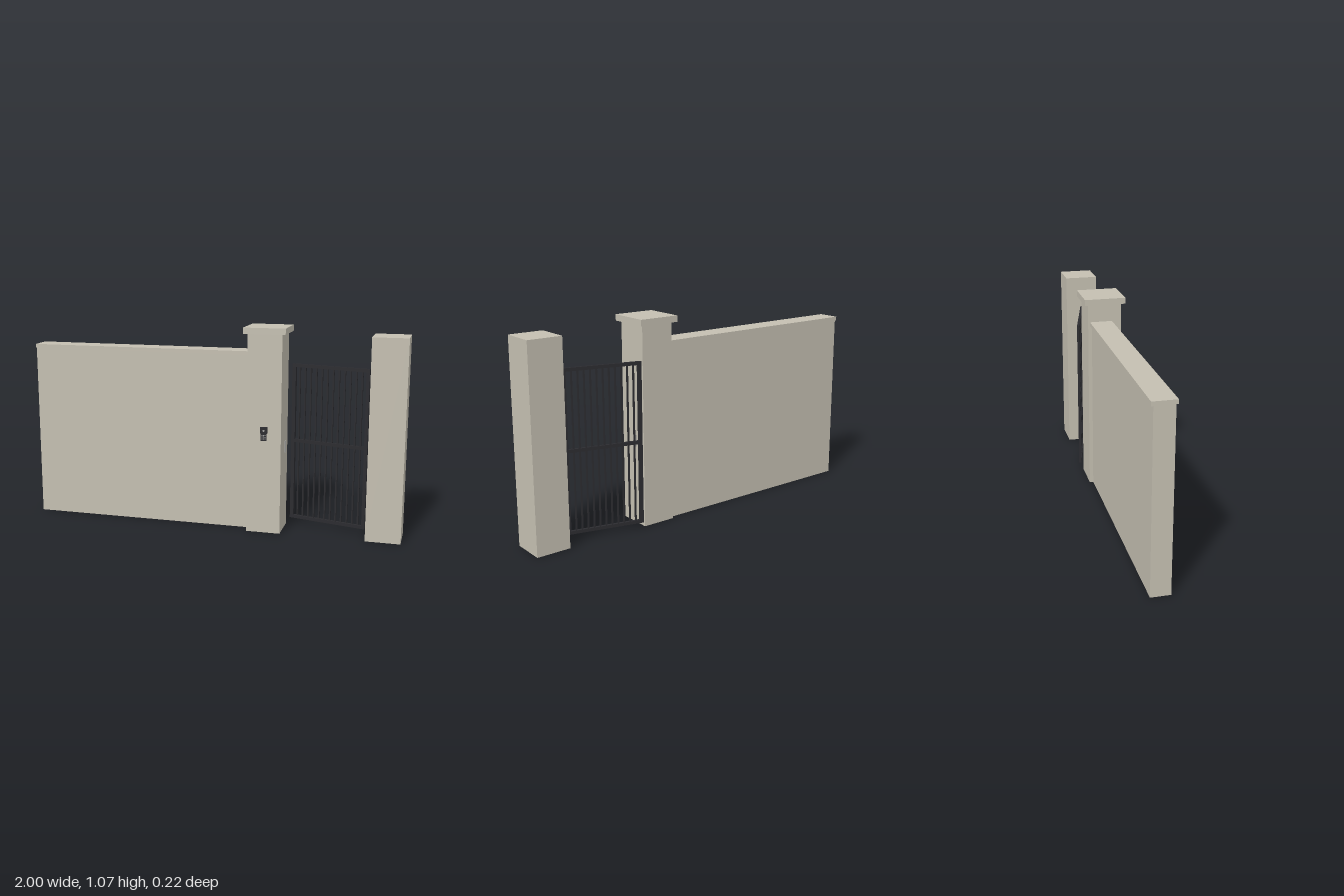
import * as THREE from 'three';

const mat = (name, color) => {
  const m = new THREE.MeshStandardMaterial({ color });
  m.name = name;
  return m;
};

export function createModel() {
  const stone = mat('stone', 0xc4bfb1);
  const iron = mat('dark iron', 0x2b2b2f);
  const steel = mat('steel', 0xa3a3a0);

  const model = new THREE.Group();
  model.name = 'gatedWall';

  // Box given by its two extreme corners
  const box = (parent, name, material, [x0, y0, z0], [x1, y1, z1]) => {
    const mesh = new THREE.Mesh(new THREE.BoxGeometry(x1 - x0, y1 - y0, z1 - z0), material);
    mesh.position.set((x0 + x1) / 2, (y0 + y1) / 2, (z0 + z1) / 2);
    mesh.name = name;
    parent.add(mesh);
    return mesh;
  };

  // Wall with its coping
  box(model, 'wall', stone, [-1, 0, -0.07], [0.2, 0.925, 0.03]);
  box(model, 'wallCoping', stone, [-1, 0.925, -0.08], [0.2, 0.946, 0.04]);

  // Capped pillar and plain pillar
  box(model, 'latchPillar', stone, [0.2, 0, -0.09], [0.378, 1.042, 0.09]);
  box(model, 'pillarCap', stone, [0.18, 1.042, -0.11], [0.398, 1.074, 0.11]);
  box(model, 'hingePillar', stone, [0.82, 0, -0.09], [1, 1.042, 0.09]);

  // Strike plate on the inner side of the capped pillar
  box(model, 'strikePlate', steel, [0.378, 0.415, -0.025], [0.384, 0.475, -0.009]);

  // Gate leaf: local x runs from the hinge (0) to the latch edge (-length)
  const gate = new THREE.Group();
  gate.name = 'gate';
  gate.position.set(0.81, 0, -0.002);
  gate.rotation.y = -Math.atan2(0.103, 0.411);
  model.add(gate);
  const length = 0.424, low = 0.034, high = 0.872, half = 0.007;
  box(gate, 'hingeStile', iron, [-0.018, low, -half], [0, high, half]);
  box(gate, 'latchStile', iron, [-length, low, -half], [-length + 0.02, high, half]);
  for (const [name, y, h] of [['bottomRail', low, 0.017], ['middleRail', 0.454, 0.017], ['topRail', high - 0.017, 0.017]]) {
    box(gate, name, iron, [-length, y, -half], [0, y + h, half]);
  }
  const bars = 12;
  for (let i = 1; i <= bars; i++) {
    const x = -0.009 - (i * (length - 0.019)) / (bars + 1);
    box(gate, 'bar', iron, [x - 0.004, low, -0.004], [x + 0.004, high, 0.004]);
  }

  // Entry intercom: body, hood, camera, screen and buttons
  const intercom = new THREE.Group();
  intercom.name = 'intercom';
  intercom.position.set(0.289, 0.53, 0.09);
  model.add(intercom);
  box(intercom, 'intercomBody', iron, [-0.015, -0.036, 0], [0.015, 0.036, 0.006]);
  box(intercom, 'intercomHead', iron, [-0.018, 0.002, 0], [0.018, 0.034, 0.008]);
  box(intercom, 'intercomHood', iron, [-0.018, 0.031, 0], [0.018, 0.036, 0.012]);
  const lens = new THREE.Mesh(new THREE.CylinderGeometry(0.005, 0.005, 0.002, 16), steel);
  lens.rotation.x = Math.PI / 2;
  lens.position.set(0, 0.018, 0.009);
  lens.name = 'cameraLens';
  intercom.add(lens);
  for (let row = 0; row < 3; row++) {
    for (let col = -1; col <= 1; col++) {
      const x = col * 0.008, y = -0.007 - row * 0.009;
      box(intercom, 'button', steel, [x - 0.0025, y - 0.0025, 0.006], [x + 0.0025, y + 0.0025, 0.0072]);
    }
  }
  return model;
}
